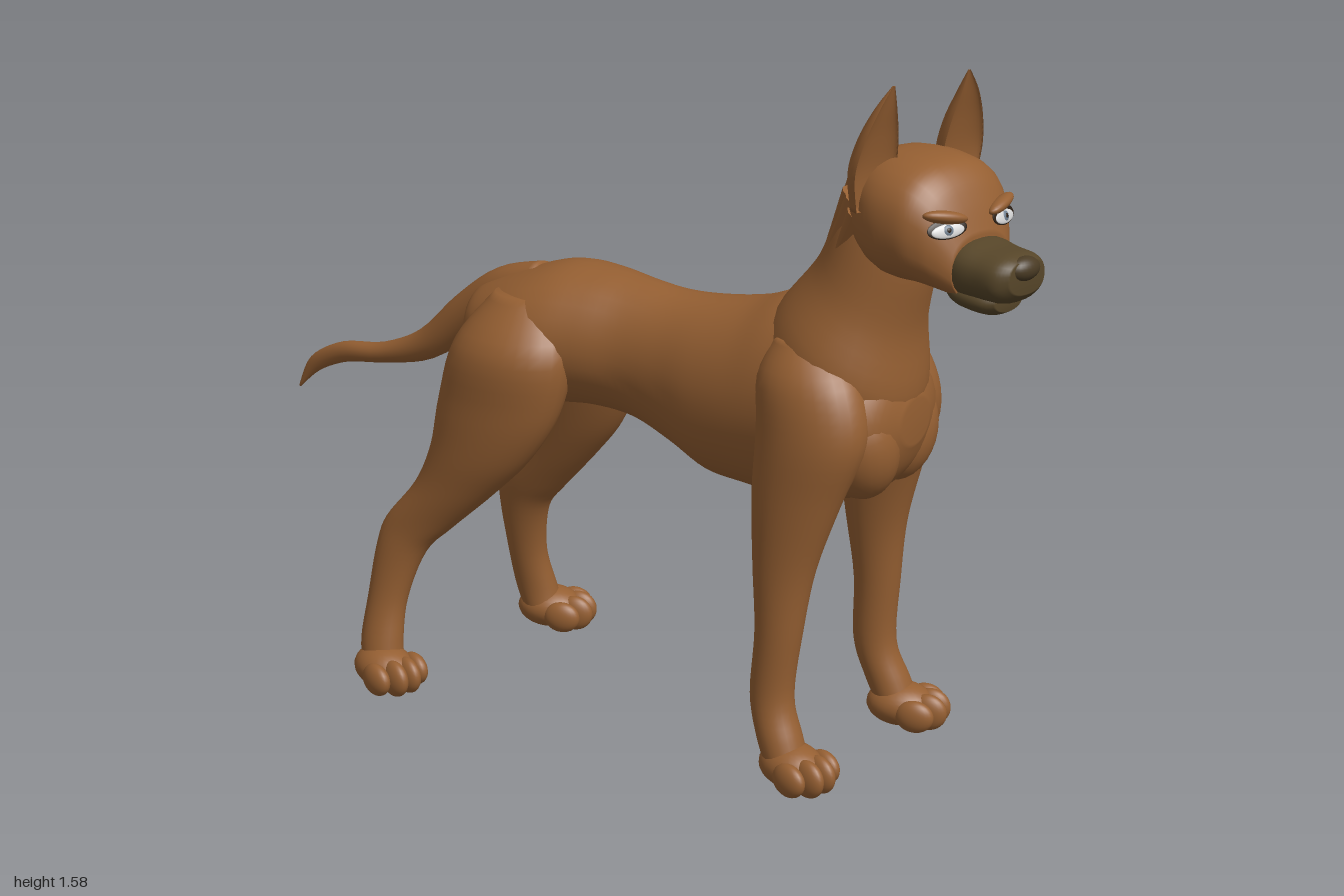
import * as THREE from 'three';

const mat = (name, color) => Object.assign(new THREE.MeshStandardMaterial({ color }), { name });
const coat = mat('brown coat', 0x955f32);
const dark = mat('dark muzzle', 0x574629);
const noseMat = mat('nose', 0x4a3b24);
const white = mat('eye white', 0xd8d8d8);
const black = mat('eye rim', 0x2a1e14);
const iris = mat('iris', 0x6f7f90);

const add = (parent, geo, material, name) => {
  const m = new THREE.Mesh(geo, material);
  m.name = name;
  parent.add(m);
  return m;
};

const spline = (a, b, c, d, t) =>
  0.5 * (2 * b + (c - a) * t + (2 * a - 5 * b + 4 * c - d) * t * t + (3 * b - a - 3 * c + d) * t * t * t);

// Smooth skin over cross-sections [x, y, z, half width in z, half depth, tilt of depth axis in degrees]
function loft(sections, { power = 1, hollow = 1, sides = 28, steps = 5 } = {}) {
  const rings = [];
  const n = sections.length;
  const at = (i) => sections[Math.max(0, Math.min(n - 1, i))];
  for (let i = 0; i < n - 1; i++)
    for (let s = 0; s < steps; s++)
      rings.push(at(i).map((v, k) => spline(at(i - 1)[k], v, at(i + 1)[k], at(i + 2)[k], s / steps)));
  rings.push(at(n - 1));
  const tiny = (r) => [r[0], r[1], r[2], 1e-4, 1e-4, r[5]];
  rings.unshift(tiny(rings[0]));
  rings.push(tiny(rings[rings.length - 1]));
  const pos = [], index = [];
  const soft = (v) => Math.sign(v) * Math.abs(v) ** power;
  rings.forEach(([x, y, z, w, h, tilt], i) => {
    const a = THREE.MathUtils.degToRad(tilt);
    for (let j = 0; j < sides; j++) {
      const t = (j / sides) * Math.PI * 2;
      const u = w * soft(Math.cos(t));
      let v = h * soft(Math.sin(t));
      if (v > 0) v *= hollow;
      pos.push(x + Math.cos(a) * v, y + Math.sin(a) * v, z + u);
      if (i === rings.length - 1) continue;
      const p = i * sides + j, q = i * sides + ((j + 1) % sides);
      index.push(p, p + sides, q, q, p + sides, q + sides);
    }
  });
  const g = new THREE.BufferGeometry();
  g.setAttribute('position', new THREE.Float32BufferAttribute(pos, 3));
  g.setIndex(index);
  g.computeVertexNormals();
  return g;
}

function blob(parent, name, p, r, material = coat) {
  const m = add(parent, new THREE.SphereGeometry(1, 24, 16), material, name);
  m.position.set(...p);
  m.scale.set(...r);
  return m;
}

// Paw facing +x, with four toes
function paw(parent, name, x, z, yaw) {
  const g = new THREE.Group();
  g.name = name;
  g.position.set(x, 0, z);
  g.rotation.y = yaw;
  blob(g, 'pawPad', [-0.015, 0.05, 0], [0.08, 0.05, 0.064]);
  [-1.5, -0.5, 0.5, 1.5].forEach((k) => {
    const inner = Math.abs(k) < 1;
    blob(g, 'toe', [inner ? 0.052 : 0.03, 0.043, k * 0.036], [0.045, inner ? 0.043 : 0.038, 0.023]);
  });
  parent.add(g);
}

function buildHead() {
  const head = new THREE.Group();
  head.name = 'head';
  head.position.set(0.7, 0, 0.02);
  head.rotation.y = -0.27;
  const skull = add(head, loft([
    [-0.125, 1.3, 0, 0.07, 0.06, 90], [-0.085, 1.3, 0, 0.13, 0.112, 90], [-0.01, 1.288, 0, 0.165, 0.134, 90],
    [0.07, 1.283, 0, 0.16, 0.13, 90], [0.115, 1.265, 0, 0.138, 0.118, 90], [0.145, 1.238, 0, 0.112, 0.097, 90],
    [0.17, 1.205, 0, 0.085, 0.068, 90],
  ], { power: 0.85 }), coat, 'skull');
  // Muzzle, lower jaw and nose
  add(head, loft([
    [0.135, 1.2, 0, 0.07, 0.05, 90], [0.165, 1.206, 0, 0.086, 0.061, 90], [0.22, 1.203, 0, 0.083, 0.056, 90],
    [0.27, 1.203, 0, 0.077, 0.052, 90], [0.298, 1.21, 0, 0.052, 0.036, 90],
  ], { power: 0.85 }), dark, 'muzzle');
  add(head, loft([
    [0.13, 1.165, 0, 0.065, 0.03, 90], [0.16, 1.155, 0, 0.072, 0.036, 90], [0.22, 1.147, 0, 0.062, 0.033, 90],
    [0.25, 1.148, 0, 0.04, 0.022, 90],
  ]), dark, 'lowerJaw');
  blob(head, 'nose', [0.287, 1.226, 0], [0.025, 0.026, 0.042], noseMat);

  // Eyes and brows sit on the skull surface
  skull.updateMatrix();
  const solid = new THREE.Mesh(skull.geometry, coat);
  const ray = new THREE.Raycaster();
  const forward = new THREE.Vector3(1, 0, 0);
  for (const s of [1, -1]) {
    ray.set(new THREE.Vector3(1, 1.293, s * 0.084), new THREE.Vector3(-1, 0, 0));
    const hit = ray.intersectObject(solid)[0];
    const eye = new THREE.Group();
    eye.name = s > 0 ? 'leftEye' : 'rightEye';
    eye.position.copy(hit ? hit.point : new THREE.Vector3(0.14, 1.293, s * 0.084));
    eye.quaternion.setFromUnitVectors(forward, hit ? hit.face.normal : forward);
    blob(eye, 'eyeRim', [0, 0.003, 0], [0.004, 0.021, 0.047], black);
    blob(eye, 'eyeWhite', [0.002, -0.001, 0], [0.005, 0.015, 0.039], white);
    blob(eye, 'iris', [0.005, 0, 0], [0.004, 0.011, 0.012], iris);
    blob(eye, 'pupil', [0.007, 0, 0], [0.003, 0.006, 0.006], black);
    const brow = blob(eye, 'brow', [0.001, 0.027, 0], [0.02, 0.014, 0.052]);
    brow.rotation.x = -s * 0.22;
    head.add(eye);
    // Cupped upright ear
    add(head, loft([
      [0.018, 1.575, s * 0.112, 0.003, 0.004, 0], [0.012, 1.525, s * 0.122, 0.027, 0.03, 0],
      [0, 1.46, s * 0.127, 0.05, 0.05, 0], [-0.012, 1.39, s * 0.13, 0.06, 0.056, 0],
      [-0.02, 1.31, s * 0.13, 0.045, 0.045, 0],
    ], { hollow: -0.35 }), coat, s > 0 ? 'leftEar' : 'rightEar');
  }
  return head;
}

export function createModel() {
  const dog = new THREE.Group();
  dog.name = 'dog';

  add(dog, loft([
    [-0.455, 0.88, 0, 0.05, 0.05, 90], [-0.41, 0.87, 0, 0.13, 0.09, 90], [-0.3, 0.865, 0, 0.185, 0.14, 90],
    [-0.2, 0.87, 0, 0.185, 0.163, 90], [-0.1, 0.872, 0, 0.16, 0.16, 90], [0, 0.86, 0, 0.135, 0.16, 90],
    [0.1, 0.835, 0, 0.14, 0.175, 90], [0.2, 0.815, 0, 0.165, 0.2, 90], [0.3, 0.818, 0, 0.185, 0.214, 90],
    [0.4, 0.832, 0, 0.2, 0.233, 90], [0.5, 0.835, 0, 0.21, 0.225, 90], [0.6, 0.815, 0, 0.19, 0.175, 90],
    [0.66, 0.815, 0, 0.14, 0.115, 90], [0.688, 0.815, 0, 0.06, 0.05, 90],
  ]), coat, 'torso');

  add(dog, loft([
    [0.66, 1.32, 0, 0.11, 0.09, -50], [0.615, 1.22, 0, 0.13, 0.122, -40], [0.575, 1.09, 0, 0.15, 0.136, -36],
    [0.535, 0.96, 0, 0.19, 0.185, -36], [0.48, 0.86, 0, 0.18, 0.2, -45],
  ]), coat, 'neck');

  add(dog, loft([
    [-0.27, 0.97, 0, 0.05, 0.05, -70], [-0.38, 0.935, 0, 0.052, 0.055, -60], [-0.49, 0.86, 0, 0.047, 0.05, -52],
    [-0.61, 0.765, 0, 0.038, 0.038, -60], [-0.74, 0.72, 0, 0.028, 0.025, -85], [-0.86, 0.7, 0, 0.02, 0.025, -70],
    [-0.95, 0.655, 0, 0.012, 0.02, -52], [-1, 0.59, 0, 0.003, 0.003, -45],
  ], { sides: 18 }), coat, 'tail');

  for (const s of [1, -1]) {
    const side = s > 0 ? 'left' : 'right';
    // The right legs stand a little further forward
    const pose = (reach, list) => list.map(([x, y, z, w, d]) =>
      [x + (s < 0 ? reach * Math.max(0, 1 - y / 0.75) : 0), y, s * z, w, d, 0]);
    add(dog, loft(pose(0.045, [
      [0.48, 1.0, 0.11, 0.06, 0.07], [0.505, 0.92, 0.145, 0.083, 0.12], [0.525, 0.8, 0.163, 0.087, 0.13],
      [0.5, 0.66, 0.18, 0.071, 0.105], [0.478, 0.5, 0.19, 0.058, 0.073], [0.47, 0.35, 0.197, 0.05, 0.054],
      [0.457, 0.2, 0.2, 0.046, 0.05], [0.482, 0.11, 0.208, 0.05, 0.052], [0.505, 0.05, 0.212, 0.05, 0.05],
    ])), coat, side + 'FrontLeg');
    paw(dog, side + 'FrontPaw', s > 0 ? 0.53 : 0.57, s * 0.215, -s * 0.25);

    add(dog, loft(pose(0.125, [
      [-0.26, 0.97, 0.09, 0.06, 0.08], [-0.265, 0.86, 0.14, 0.1, 0.15], [-0.295, 0.72, 0.157, 0.09, 0.158],
      [-0.34, 0.6, 0.17, 0.075, 0.132], [-0.41, 0.5, 0.178, 0.06, 0.105], [-0.505, 0.4, 0.188, 0.048, 0.09],
      [-0.55, 0.33, 0.2, 0.043, 0.066], [-0.578, 0.21, 0.22, 0.041, 0.05], [-0.583, 0.11, 0.24, 0.045, 0.052],
      [-0.575, 0.05, 0.247, 0.048, 0.05],
    ])), coat, side + 'HindLeg');
    paw(dog, side + 'HindPaw', s > 0 ? -0.55 : -0.435, s * 0.265, -s * 0.3);

    const chest = blob(dog, side + 'ChestMuscle', [0.6, 0.765, s * 0.085], [0.085, 0.12, 0.09]);
    chest.rotation.x = s * 0.25;
  }

  // Ragged hair at the back of the neck
  const down = new THREE.Vector3(-0.5, -0.85, 0).normalize();
  const up = new THREE.Vector3(0, 1, 0);
  for (let i = -4; i <= 4; i++) {
    const a = i * 0.27;
    const tuft = add(dog, new THREE.ConeGeometry(0.028, 0.13 + (i % 2 ? 0.02 : 0), 10), coat, 'neckTuft');
    tuft.position.set(0.615 - 0.1 * Math.cos(a), 1.195 + 0.075 * Math.cos(a), 0.128 * Math.sin(a));
    tuft.quaternion.setFromUnitVectors(up, down);
  }

  dog.add(buildHead());
  return dog;
}
